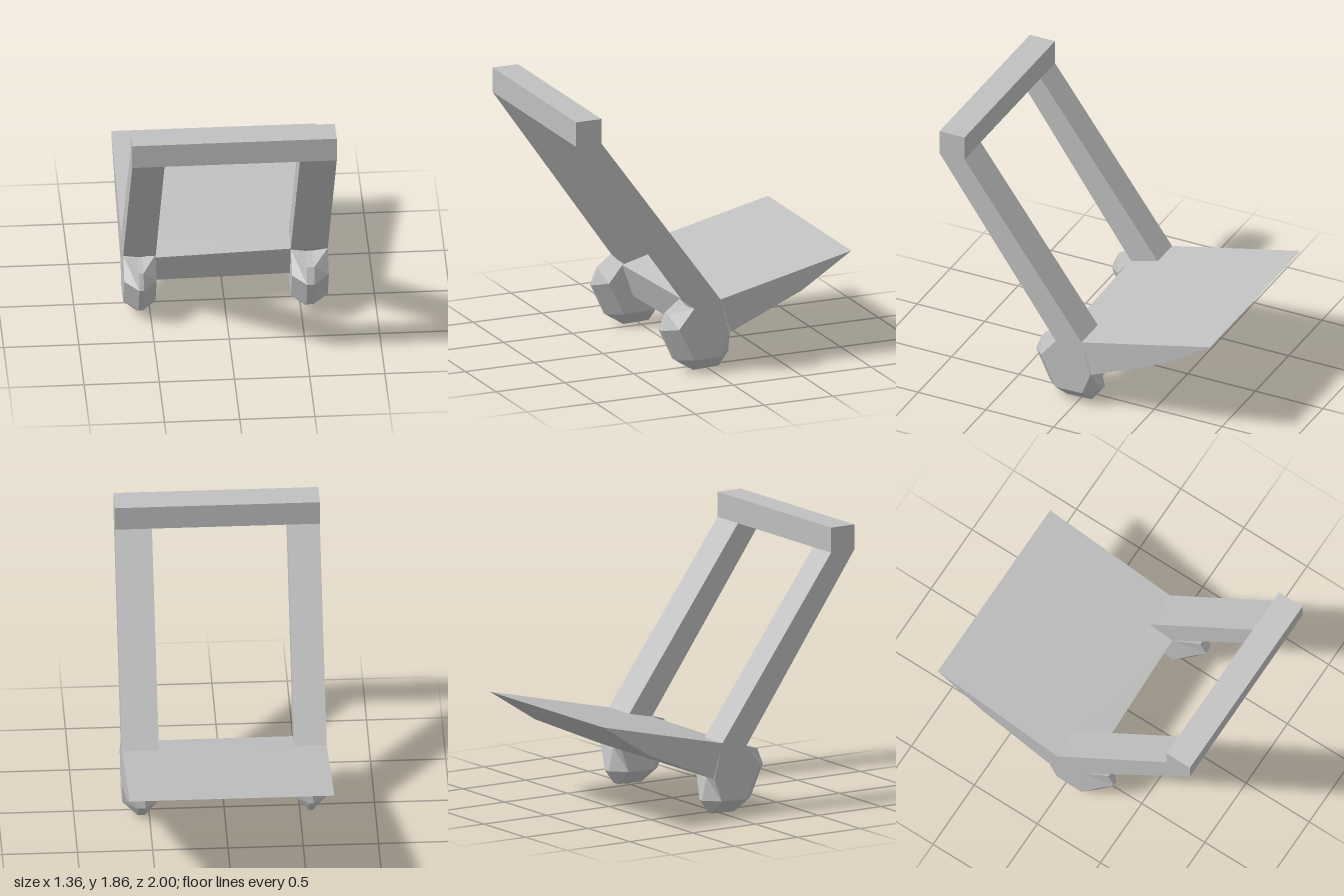
import * as THREE from 'three';

// Signed area of three [z, y] points
const area = (a, b, c) => (b[0] - a[0]) * (c[1] - a[1]) - (b[1] - a[1]) * (c[0] - a[0]);

// Solid through rings { x, pts }, ordered by rising x; pts are [z, y], clockwise with z to the right
function loft(rings) {
  const pos = [];
  const tri = (...vs) => vs.forEach((v) => pos.push(...v));
  const at = (r, i) => {
    const p = r.pts[i % r.pts.length];
    return [r.x, p[1], p[0]];
  };
  const same = (p, q) => p.every((v, i) => Math.abs(v - q[i]) < 1e-6);
  for (let k = 0; k < rings.length - 1; k++) {
    for (let i = 0; i < rings[k].pts.length; i++) {
      const a = at(rings[k], i), b = at(rings[k], i + 1);
      const c = at(rings[k + 1], i + 1), d = at(rings[k + 1], i);
      if (!same(a, b)) tri(a, b, c);
      if (!same(c, d)) tri(a, c, d);
    }
  }
  // Flat end caps
  const cap = (ring, dir) => {
    const pts = ring.pts.filter((p, i, all) => !same(p, all[(i + 1) % all.length]));
    const contour = pts.map((p) => new THREE.Vector2(...p));
    for (const f of THREE.ShapeUtils.triangulateShape(contour, [])) {
      const [a, b, c] = f.map((i) => pts[i]);
      const v = [a, b, c].map((p) => [ring.x, p[1], p[0]]);
      if (area(a, b, c) * dir > 0) v.reverse();
      tri(...v);
    }
  };
  cap(rings[0], -1);
  cap(rings[rings.length - 1], 1);
  const g = new THREE.BufferGeometry();
  g.setAttribute('position', new THREE.Float32BufferAttribute(pos, 3));
  g.computeVertexNormals();
  return g;
}

export function createModel() {
  const grey = new THREE.MeshStandardMaterial({ color: 0xc0c0c0, flatShading: true });
  grey.name = 'grey';
  const model = new THREE.Group();
  const add = (name, geometry) => {
    const mesh = new THREE.Mesh(geometry, grey);
    mesh.name = name;
    model.add(mesh);
    return mesh;
  };
  const xMin = -0.68, xMax = 0.68, innerRight = -0.465, innerLeft = 0.435;

  // Push bar across the top
  add('handleBar', new THREE.BoxGeometry(xMax - xMin, 0.17, 0.185)).position.set(0, 1.775, 0.9075);

  // Wedge-shaped scoop over the full width
  const wedge = [[-1, 0.72], [-0.05, 0.5], [-0.12, 0.265], [-0.64, 0.49]];
  add('scoop', loft([{ x: xMin, pts: wedge }, { x: xMax, pts: wedge }]));

  // Lip of the scoop between the arms, with a slightly skewed front edge
  const lip = (z, y) => [[-0.05, 0.5], [z, y], [z - 0.08, 0.22], [-0.12, 0.265]];
  add('scoopLip', loft([
    { x: innerRight, pts: lip(0.155, 0.445) },
    { x: innerLeft, pts: lip(0.13, 0.46) },
  ]));

  // Sloping arms, each standing on a faceted foot
  const arm = (z) => [[0.815, 1.69], [0.815, 1.73], [1, 1.69], [z, 0.46], [-0.115, 0.265], [-0.05, 0.5]];
  const side = [[0.14, 0.46], [0.14, 0.46], [0.25, 0.325], [0.14, 0.1],
    [0.14, 0.1], [-0.055, 0.105], [-0.055, 0.105], [-0.115, 0.265]];
  const rim = [[0.14, 0.445], [0.29, 0.41], [0.335, 0.3], [0.235, 0.085],
    [0.105, 0.003], [-0.08, 0.01], [-0.15, 0.105], [-0.115, 0.265]];
  const limbs = [
    { name: 'right', x: [xMin, innerRight], ridge: [-0.585, -0.555], z: [0.14, 0.155] },
    { name: 'left', x: [innerLeft, xMax], ridge: [0.53, 0.58], z: [0.13, 0.14] },
  ];
  for (const { name, x, ridge, z } of limbs) {
    add(name + 'Arm', loft([{ x: x[0], pts: arm(z[0]) }, { x: x[1], pts: arm(z[1]) }]));
    add(name + 'Foot', loft([
      { x: x[0], pts: side }, { x: ridge[0], pts: rim },
      { x: ridge[1], pts: rim }, { x: x[1], pts: side },
    ]));
  }
  return model;
}
